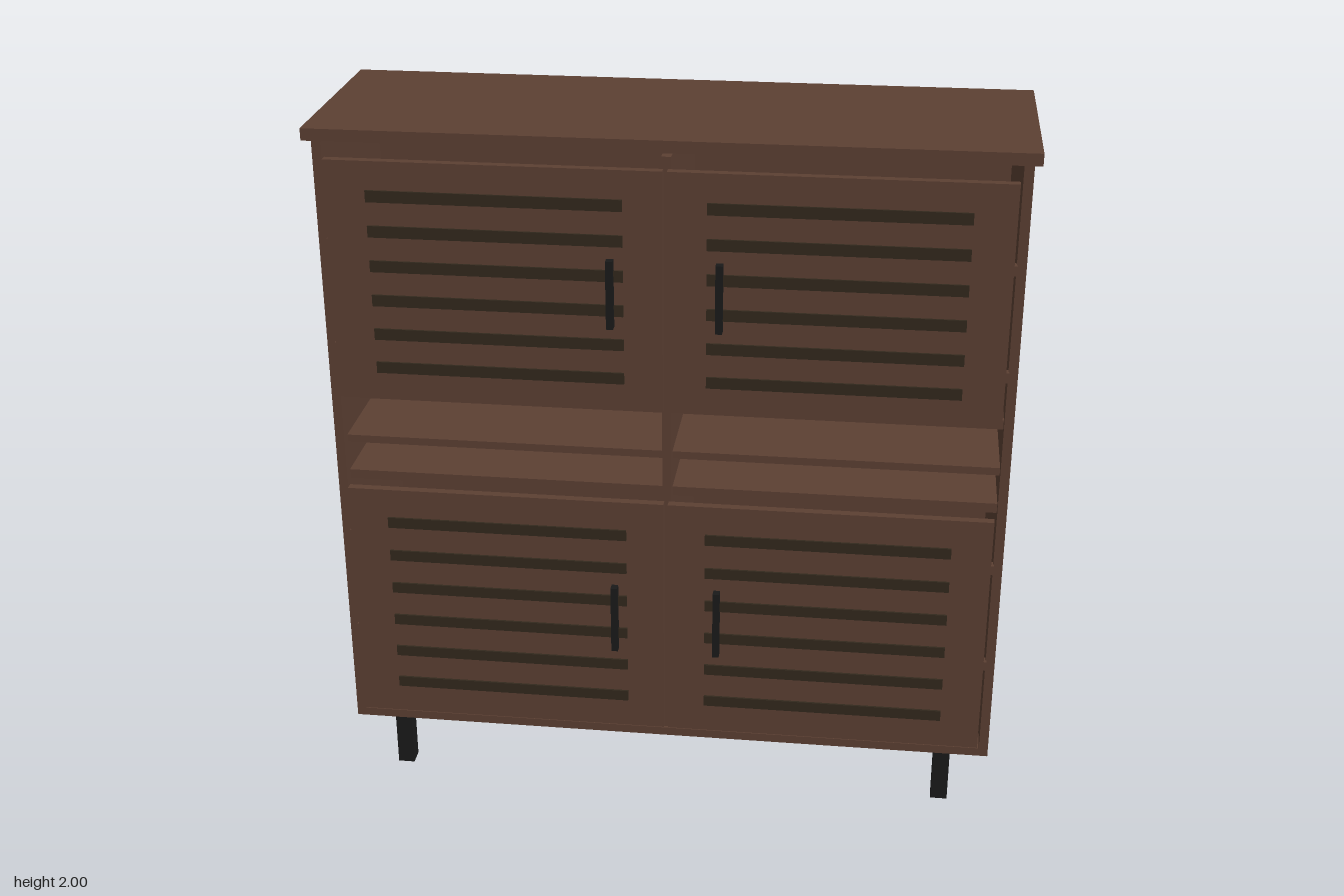
import * as THREE from 'three';

export function createModel() {
  const model = new THREE.Group();
  const wood = new THREE.MeshStandardMaterial({ color: 0x5c4033 });
  wood.name = 'brown wood';
  const slatPaint = new THREE.MeshStandardMaterial({ color: 0x33291d });
  slatPaint.name = 'dark slat';
  const metal = new THREE.MeshStandardMaterial({ color: 0x1a1a1a });
  metal.name = 'black metal';

  // Box given by its minimum and maximum on each axis
  function box(name, material, [x0, x1], [y0, y1], [z0, z1], parent = model) {
    const mesh = new THREE.Mesh(new THREE.BoxGeometry(x1 - x0, y1 - y0, z1 - z0), material);
    mesh.position.set((x0 + x1) / 2, (y0 + y1) / 2, (z0 + z1) / 2);
    mesh.name = name;
    parent.add(mesh);
  }
  const span = (a, b, s) => (s > 0 ? [a, b] : [-b, -a]);

  // Carcass: the top rests on the side walls, leaving a slot above the back
  box('top', wood, [-0.957, 0.957], [1.967, 2], [-0.315, 0.291]);
  box('bottom', wood, [-0.912, 0.912], [0.18, 0.205], [-0.315, 0.264]);
  box('backPanel', wood, [-0.912, 0.912], [0.205, 1.947], [-0.315, -0.3]);
  box('divider', wood, [-0.013, 0.013], [0.205, 1.947], [-0.3, 0.255]);

  // Shelves on both sides of the divider
  const shelves = [[0.96, 0.988], [1.075, 1.097], [1.213, 1.24]];

  // Doors: bottom, top, first slat, slat spacing, handle range, hinge heights
  const doors = [
    { name: 'lowerDoor', y: [0.225, 0.957], slat: 0.328, step: 0.1055, grip: [0.489, 0.694], hinges: [0.49, 0.8] },
    { name: 'upperDoor', y: [1.24, 1.918], slat: 1.335, step: 0.0976, grip: [1.484, 1.675], hinges: [1.38, 1.68] },
  ];

  for (const s of [-1, 1]) {
    box('sideWall', wood, span(0.912, 0.938, s), [0.18, 1.967], [-0.315, 0.264]);
    for (const y of shelves) box('shelf', wood, span(0.013, 0.912, s), y, [-0.3, 0.235]);

    for (const d of doors) {
      const group = new THREE.Group();
      group.name = d.name;
      model.add(group);
      box('doorPanel', wood, span(0.006, 0.905, s), d.y, [0.267, 0.291], group);
      for (let i = 0; i < 6; i++) {
        const y = d.slat + i * d.step;
        box('slat', slatPaint, span(0.111, 0.794, s), [y - 0.016, y + 0.016], [0.289, 0.297], group);
      }
      box('handle', metal, span(0.136, 0.155, s), d.grip, [0.291, 0.3155], group);
      for (const y of d.hinges) {
        box('hinge', wood, span(0.9, 0.914, s), [y - 0.014, y + 0.014], [0.25, 0.275], group);
      }
    }

    // Square legs
    for (const z of [-0.229, 0.208]) {
      box('leg', metal, span(0.783, 0.831, s), [0, 0.18], [z - 0.025, z + 0.025]);
    }
  }
  return model;
}
